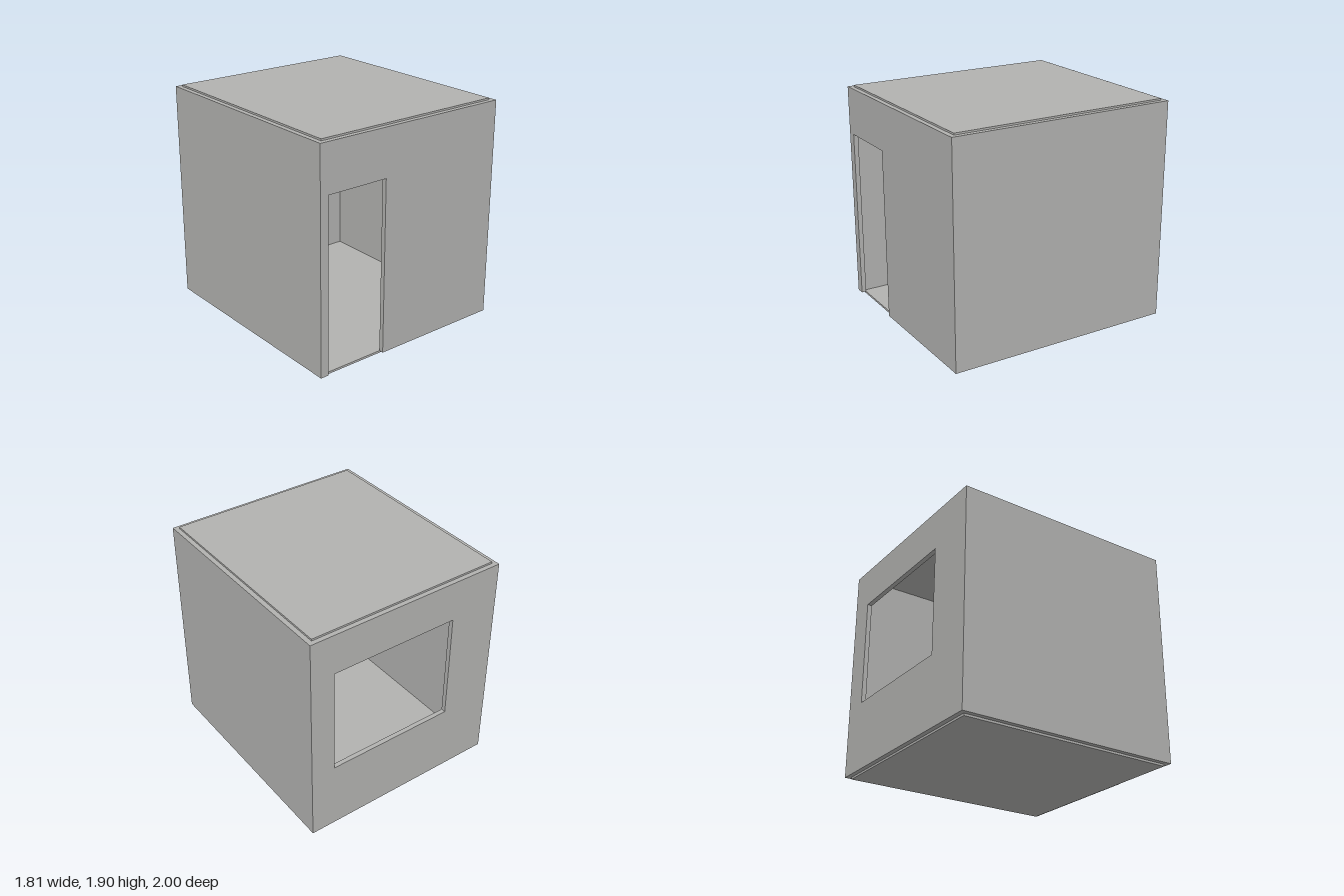
import * as THREE from 'three';

export function createModel() {
  const group = new THREE.Group();
  const grey = new THREE.MeshStandardMaterial({ color: 0xb2b2b0 });
  grey.name = 'concrete grey';

  const U = 0.887, V = 0.9775;      // half width and half depth
  const T = 0.04;                   // wall thickness
  const Y0 = 0.018, Y1 = 1.885;     // wall bottom and top
  const TOP = 1.9;                  // roof top

  // slightly turned plan
  const skew = new THREE.Matrix4().makeBasis(
    new THREE.Vector3(1, 0, -0.0254),
    new THREE.Vector3(0, 1, 0),
    new THREE.Vector3(0.019, 0, 1)
  );

  function add(name, geometry) {
    geometry.applyMatrix4(skew);
    const mesh = new THREE.Mesh(geometry, grey);
    mesh.name = name;
    group.add(mesh);
  }

  function box(name, x0, x1, y0, y1, z0, z1) {
    const g = new THREE.BoxGeometry(x1 - x0, y1 - y0, z1 - z0);
    g.translate((x0 + x1) / 2, (y0 + y1) / 2, (z0 + z1) / 2);
    add(name, g);
  }

  const points = (list) => list.map(([x, y]) => new THREE.Vector2(x, y));

  function wall(name, shape, z) {
    const g = new THREE.ExtrudeGeometry(shape, { depth: T, bevelEnabled: false });
    g.translate(0, 0, z);
    add(name, g);
  }

  // front wall, with the doorway open down to the floor
  const [dl, dr, dt] = [-0.815, -0.267, 1.485];
  wall('frontWall', new THREE.Shape(points([
    [-U, Y0], [dl, Y0], [dl, dt], [dr, dt], [dr, Y0], [U, Y0], [U, Y1], [-U, Y1]
  ])), V - T);

  // back wall, with a window hole
  const back = new THREE.Shape(points([[-U, Y0], [U, Y0], [U, Y1], [-U, Y1]]));
  const [wl, wr, wb, wt] = [-0.447, 0.677, 0.615, 1.54];
  back.holes.push(new THREE.Path(points([[wl, wb], [wl, wt], [wr, wt], [wr, wb]])));
  wall('backWall', back, -V);

  // plain side walls
  box('leftWall', U - T, U, Y0, Y1, -V + T, V - T);
  box('rightWall', -U, -U + T, Y0, Y1, -V + T, V - T);

  // floor and roof slabs, inset and standing slightly proud of the walls
  box('floor', -U + T, U - T, 0, Y0, -V + T, V - T);
  box('roof', -U + T, U - T, Y1 - 0.003, TOP, -V + T, V - T);

  return group;
}
